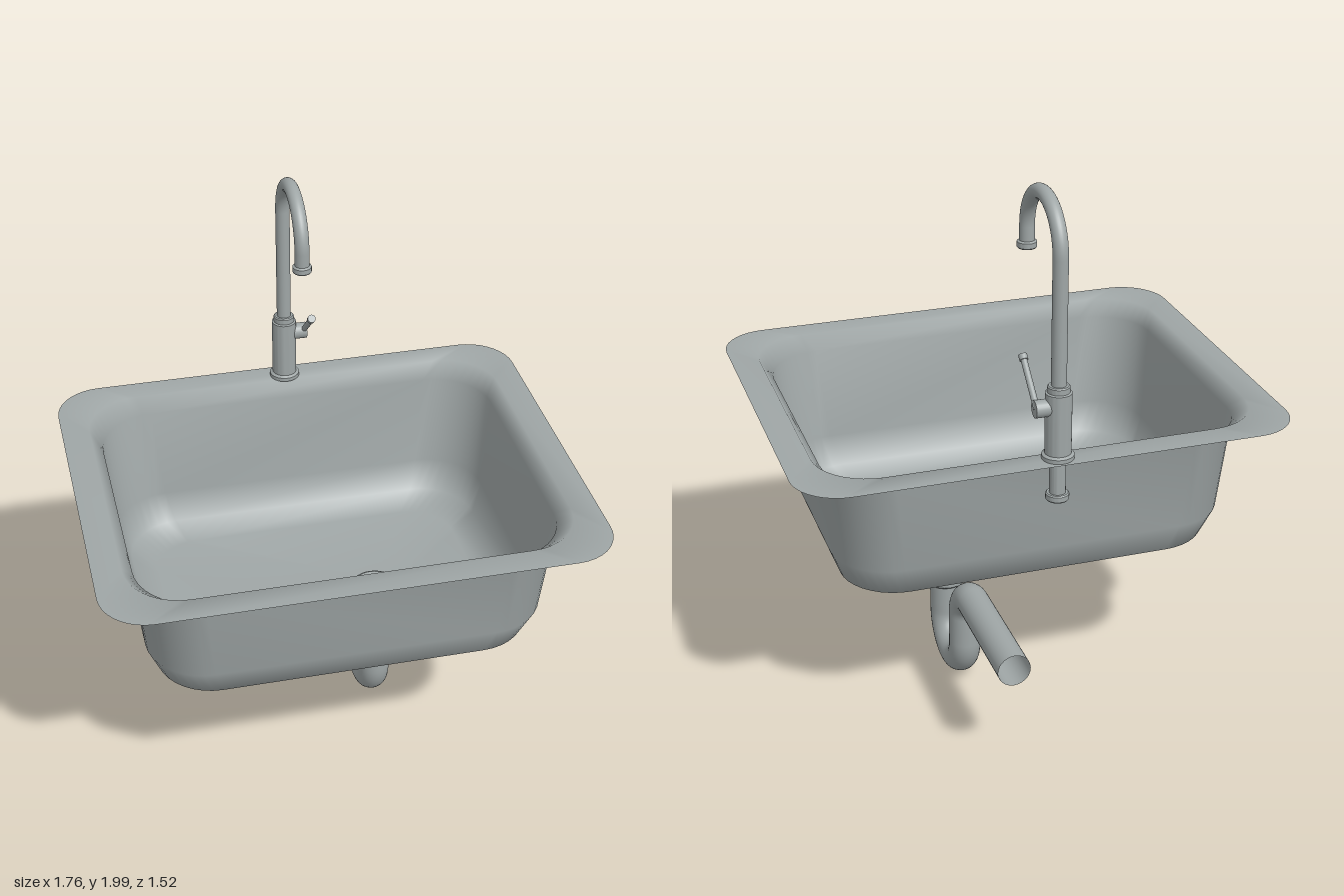
import * as THREE from 'three';
import { toCreasedNormals } from 'three/addons/utils/BufferGeometryUtils.js';

const steel = new THREE.MeshStandardMaterial({ color: 0x9fa6a6, side: THREE.DoubleSide });
steel.name = 'brushedSteel';

const V = (x, y, z) => new THREE.Vector3(x, y, z);

function part(name, geometry, parent) {
  const mesh = new THREE.Mesh(geometry, steel);
  mesh.name = name;
  parent.add(mesh);
  return mesh;
}

// Turned fitting with crisp edges: profile is [radius, y] pairs
function turned(name, profile, x, z, parent) {
  const lathe = new THREE.LatheGeometry(profile.map(([r, y]) => new THREE.Vector2(r, y)), 36);
  part(name, toCreasedNormals(lathe, 0.6), parent).position.set(x, 0, z);
}

// Cylinder running between two points
function rod(name, a, b, radius, parent) {
  const dir = b.clone().sub(a);
  const mesh = part(name, new THREE.CylinderGeometry(radius, radius, dir.length(), 24), parent);
  mesh.position.copy(a).lerp(b, 0.5);
  mesh.quaternion.setFromUnitVectors(V(0, 1, 0), dir.normalize());
}

// Pipe along a polyline whose right-angle corners are rounded; radii holds one bend per corner
function bentPipe(name, points, radii, pipeRadius, parent) {
  const path = new THREE.CurvePath();
  let last = points[0];
  const lineTo = (p) => {
    if (last.distanceTo(p) > 1e-3) path.add(new THREE.LineCurve3(last, p));
    last = p;
  };
  radii.forEach((bend, i) => {
    const corner = points[i + 1];
    const toIn = points[i].clone().sub(corner).normalize();
    const toOut = points[i + 2].clone().sub(corner).normalize();
    const at = (dir, d) => corner.clone().addScaledVector(dir, d);
    lineTo(at(toIn, bend));
    const end = at(toOut, bend);
    path.add(new THREE.CubicBezierCurve3(last, at(toIn, bend * 0.448), at(toOut, bend * 0.448), end));
    last = end;
  });
  lineTo(points[points.length - 1]);
  part(name, new THREE.TubeGeometry(path, 110, pipeRadius, 28), parent);
}

// Thin sheet lofted through rounded rectangles: [halfX, halfZ, cornerRadius, y, centreX, centreZ]
function basinGeometry(rings) {
  const perCorner = 10, n = perCorner * 4;
  const positions = [], index = [];
  for (const [hx, hz, r, y, cx, cz] of rings) {
    for (let k = 0; k < n; k++) {
      const corner = Math.floor(k / perCorner);
      const t = (corner + (k % perCorner) / (perCorner - 1)) * Math.PI / 2;
      const sx = corner === 0 || corner === 3 ? 1 : -1;
      const sz = corner < 2 ? 1 : -1;
      positions.push(cx + sx * (hx - r) + r * Math.cos(t), y, cz + sz * (hz - r) + r * Math.sin(t));
    }
  }
  for (let i = 0; i < rings.length - 1; i++) {
    for (let k = 0; k < n; k++) {
      const a = i * n + k, b = i * n + (k + 1) % n;
      index.push(a, a + n, b, b, a + n, b + n);
    }
  }
  const g = new THREE.BufferGeometry();
  g.setAttribute('position', new THREE.Float32BufferAttribute(positions, 3));
  g.setIndex(index);
  g.computeVertexNormals();
  return g;
}

export function createModel() {
  const model = new THREE.Group();
  model.name = 'kitchenSink';
  const group = (name) => {
    const g = new THREE.Group();
    g.name = name;
    model.add(g);
    return g;
  };

  // Rim, walls and floor, ending in the round drain opening
  const dx = 0.197, dz = 0.057, cz = 0.038;
  part('basin', basinGeometry([
    [0.88, 0.718, 0.17, 1.112, 0, cz],
    [0.78, 0.62, 0.2, 1.114, 0, cz],
    [0.74, 0.578, 0.21, 1.06, 0, cz],
    [0.71, 0.545, 0.21, 0.71, 0, cz],
    [0.67, 0.503, 0.2, 0.6, 0, cz],
    [0.58, 0.42, 0.17, 0.555, 0, cz],
    [0.07, 0.07, 0.07, 0.555, dx, dz],
  ]), model);

  // Strainer: raised ring with parallel bars
  const drain = group('drain');
  turned('drainRing', [[0.094, 0.556], [0.09, 0.566], [0.08, 0.571], [0.068, 0.568], [0.058, 0.556], [0.056, 0.52]], dx, dz, drain);
  for (let i = -2; i <= 2; i++) {
    const x = i * 0.021;
    const length = 2 * Math.sqrt(0.057 ** 2 - x ** 2);
    part('drainBar', new THREE.BoxGeometry(0.011, 0.012, length), drain).position.set(dx + x, 0.545, dz);
  }

  // Waste pipe: two nuts and the U-bend leading to the back
  const waste = group('wastePipe');
  turned('drainNut', [[0.056, 0.49], [0.073, 0.49], [0.073, 0.527], [0.082, 0.53], [0.082, 0.554], [0.056, 0.554]], dx, dz, waste);
  turned('trapNut', [[0.056, 0.305], [0.069, 0.305], [0.073, 0.31], [0.073, 0.354], [0.069, 0.36], [0.056, 0.36]], dx, dz, waste);
  bentPipe('trapPipe', [
    V(dx, 0.55, dz), V(dx, 0.068, dz), V(dx, 0.068, -0.189), V(dx, 0.41, -0.189), V(dx, 0.41, -0.764),
  ], [0.122, 0.122, 0.11], 0.058, waste);

  // Tap: body, swan neck and nozzle
  const fz = -0.618;
  const tap = group('tap');
  turned('tapBody', [
    [0, 1.114], [0.055, 1.114], [0.055, 1.128], [0.045, 1.134], [0.045, 1.35], [0.038, 1.353],
    [0.038, 1.372], [0.034, 1.376], [0.024, 1.376],
  ], 0, fz, tap);
  bentPipe('tapNeck', [
    V(0, 1.36, fz), V(0, 1.974, fz), V(0, 1.974, -0.29), V(0, 1.745, -0.29),
  ], [0.163, 0.163], 0.026, tap);
  turned('nozzle', [[0.022, 1.755], [0.022, 1.735], [0.031, 1.735], [0.034, 1.739], [0.034, 1.757], [0.026, 1.762]], 0, -0.29, tap);

  // Threaded shank and nut under the rim
  turned('shank', [[0.028, 0.97], [0.028, 1.114]], 0, fz, tap);
  turned('shankNut', [[0.024, 0.99], [0.024, 0.96], [0.037, 0.96], [0.04, 0.964], [0.04, 0.982], [0.036, 0.986], [0.028, 0.986]], 0, fz, tap);

  // Side lever
  const hub = V(0.075, 1.3, fz), tip = V(0.075, 1.432, -0.472);
  rod('leverHub', V(0.03, 1.3, fz), V(0.084, 1.3, fz), 0.03, tap);
  rod('leverArm', hub, tip, 0.011, tap);
  rod('leverTip', hub.clone().lerp(tip, 0.9), tip, 0.015, tap);

  return model;
}
